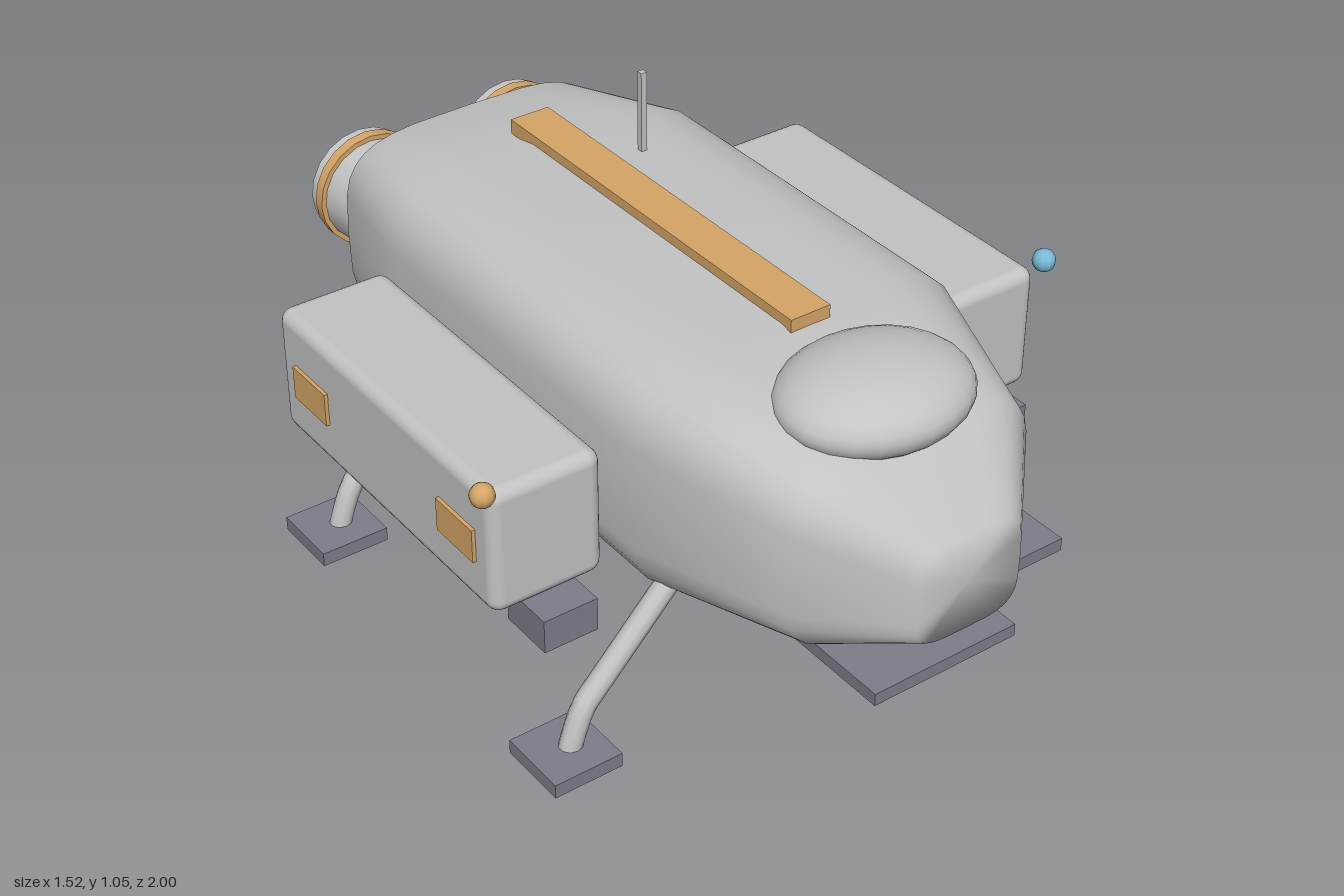
import * as THREE from 'three';
import { RoundedBoxGeometry } from 'three/addons/geometries/RoundedBoxGeometry.js';

const paint = (name, color) => {
  const m = new THREE.MeshStandardMaterial({ color });
  m.name = name;
  return m;
};

// Lofted hull: rounded-square rings from nose to stern, smooth nose, sharp flat stern
function hullGeometry() {
  // z, half width, bottom, top
  const stations = [
    [1.0, 0.135, 0.405, 0.64],
    [0.82, 0.305, 0.335, 0.775],
    [0.46, 0.42, 0.288, 0.857],
    [-0.44, 0.42, 0.285, 0.857],
    [-0.79, 0.343, 0.32, 0.787],
  ];
  const n = 32, pos = [], idx = [];
  const soft = (v) => Math.sign(v) * Math.sqrt(Math.abs(v));
  const ring = ([z, w, lo, hi]) => {
    for (let j = 0; j < n; j++) {
      const a = (j / n) * Math.PI * 2;
      pos.push(w * soft(Math.cos(a)), (lo + hi) / 2 + ((hi - lo) / 2) * soft(Math.sin(a)), z);
    }
  };
  stations.forEach(ring);
  const stern = stations[stations.length - 1];
  ring(stern); // separate copy keeps the stern edge sharp
  const last = stations.length;
  const nose = pos.length / 3;
  pos.push(0, 0.5225, 1, 0, (stern[2] + stern[3]) / 2, stern[0]);
  for (let j = 0; j < n; j++) {
    const k = (j + 1) % n;
    for (let i = 0; i < last - 1; i++) {
      const a = i * n + j, b = i * n + k, c = a + n, d = b + n;
      idx.push(a, c, b, b, c, d);
    }
    idx.push(nose, j, k, nose + 1, last * n + k, last * n + j);
  }
  const g = new THREE.BufferGeometry();
  g.setAttribute('position', new THREE.Float32BufferAttribute(pos, 3));
  g.setIndex(idx);
  g.computeVertexNormals();
  return g;
}

export function createModel() {
  const model = new THREE.Group();
  model.name = 'landerShip';
  const hullGrey = paint('hullGrey', 0xc2c4c4);
  const darkGrey = paint('darkGrey', 0x7c7f8a);
  const tan = paint('tan', 0xd6a666);
  const glowBlue = paint('glowBlue', 0x78bcd8);

  const add = (name, geo, mat, x = 0, y = 0, z = 0, parent = model) => {
    const m = new THREE.Mesh(geo, mat);
    m.name = name;
    m.position.set(x, y, z);
    parent.add(m);
    return m;
  };
  const box = (w, h, d) => new THREE.BoxGeometry(w, h, d);

  // Body
  add('hull', hullGeometry(), hullGrey);
  add('canopy', new THREE.SphereGeometry(1, 24, 16), hullGrey, 0, 0.8, 0.692).scale.set(0.22, 0.092, 0.183);
  add('dorsalStripe', box(0.1, 0.035, 1.02), tan, 0, 0.862, -0.02);
  add('antenna', box(0.015, 0.22, 0.015), hullGrey, 0.135, 0.94, -0.28);
  add('ramp', box(0.37, 0.03, 0.345), darkGrey, 0, 0.28, 0.782);

  for (const s of [1, -1]) {
    const side = s > 0 ? 'left' : 'right';

    // Main engine
    const engine = new THREE.Group();
    engine.name = side + 'Engine';
    engine.position.set(s * 0.205, 0.575, 0);
    engine.rotation.x = -Math.PI / 2; // local +y points to the stern
    model.add(engine);
    add('engineBarrel', new THREE.CylinderGeometry(0.136, 0.119, 0.2, 20), hullGrey, 0, 0.86, 0, engine);
    add('engineRing', new THREE.CylinderGeometry(0.143, 0.143, 0.028, 20), tan, 0, 0.917, 0, engine);
    add('engineGlow', new THREE.SphereGeometry(0.103, 20, 8, 0, Math.PI * 2, 0, Math.PI / 2), glowBlue, 0, 0.958, 0, engine).scale.y = 0.41;

    // Side pod with panels and lift thrusters
    const pod = new THREE.Group();
    pod.name = side + 'Pod';
    pod.position.x = s * 0.58;
    model.add(pod);
    add('podBody', new RoundedBoxGeometry(0.27, 0.305, 0.845, 3, 0.03), hullGrey, 0, 0.522, -0.025, pod);
    for (const z of [0.27, -0.31])
      for (const f of [1, -1]) add('podPanel', box(0.009, 0.08, 0.135), tan, f * 0.139, 0.52, z, pod);
    for (const z of [0.403, -0.365]) {
      add('thruster', box(0.13, 0.08, 0.135), darkGrey, 0, 0.338, z, pod);
      add('thrusterGlow', new THREE.SphereGeometry(0.05, 16, 10), glowBlue, 0, 0.3, z, pod).scale.y = 0.42;
    }
    add(side + 'Beacon', new THREE.SphereGeometry(0.027, 10, 8), s > 0 ? glowBlue : tan, s * 0.732, 0.69, 0.4);

    // Landing legs
    for (const z of [0.488, -0.45]) {
      const path = new THREE.CurvePath();
      const pts = [[0.3, 0.41], [0.565, 0.135], [0.588, 0.09], [0.606, 0.025]]
        .map(([x, y]) => new THREE.Vector3(s * x, y, z));
      path.add(new THREE.LineCurve3(pts[0], pts[1]));
      path.add(new THREE.QuadraticBezierCurve3(pts[1], pts[2], pts[3]));
      add('landingLeg', new THREE.TubeGeometry(path, 16, 0.026, 10), hullGrey);
      add('landingPad', box(0.167, 0.034, 0.17), darkGrey, s * 0.613, 0.026, z);
      add('padStud', new THREE.CylinderGeometry(0.008, 0.008, 0.02, 8), darkGrey, s * 0.603, 0.01, z);
    }
  }
  return model;
}
